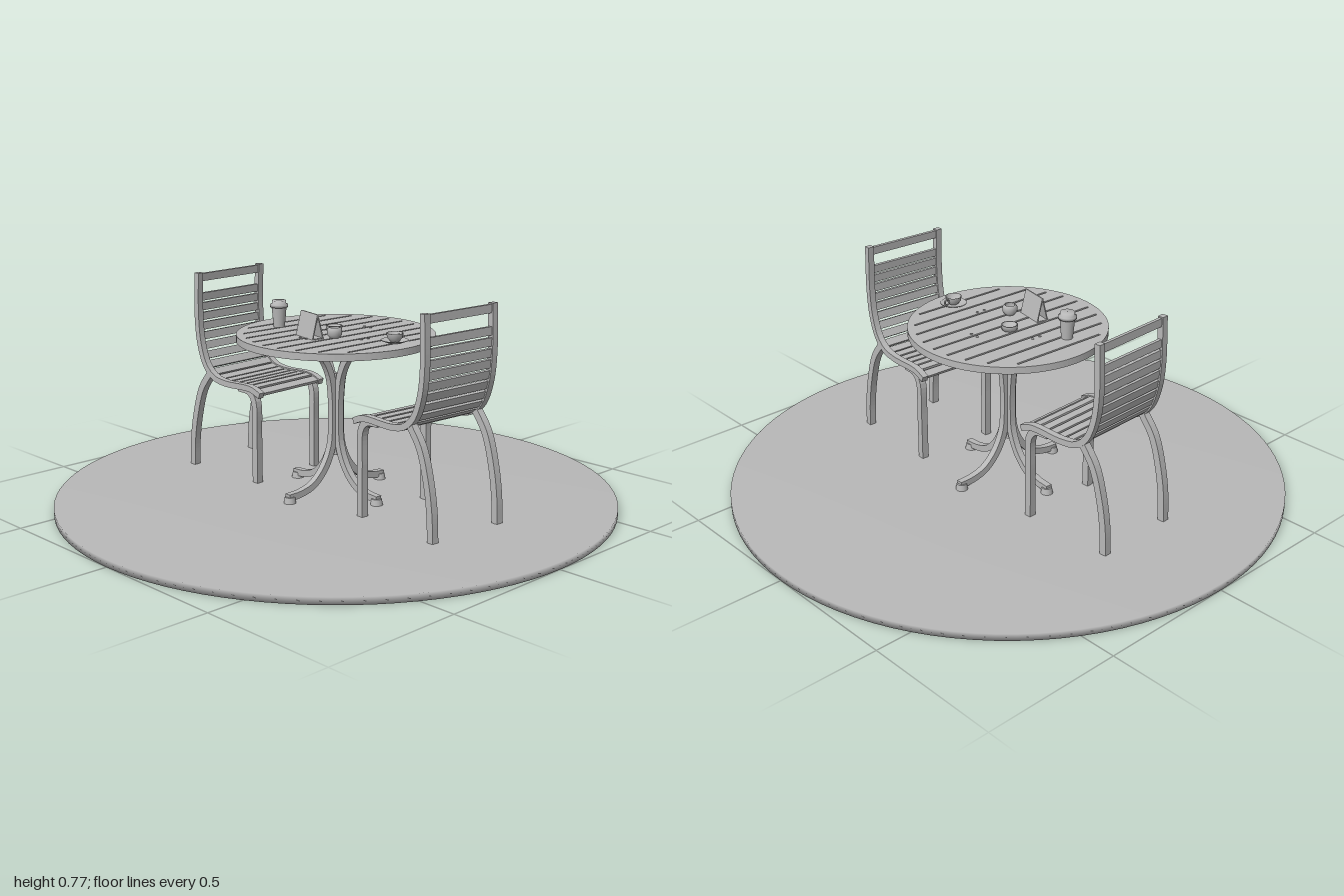
import * as THREE from 'three';

const grey = new THREE.MeshStandardMaterial({ color: 0xb8b8b8 });
grey.name = 'plain grey';

function add(parent, name, geometry, x = 0, y = 0, z = 0) {
  const mesh = new THREE.Mesh(geometry, grey);
  mesh.name = name;
  mesh.position.set(x, y, z);
  parent.add(mesh);
  return mesh;
}

const curveOf = (pts) => new THREE.CatmullRomCurve3(pts.map(([z, y]) => new THREE.Vector3(0, y, z)), false, 'centripetal');

// Flat bar of constant thickness bent along a path of [z, y] points
function strap(pts, thickness, width, steps = 24) {
  const curve = curveOf(pts);
  const a = [], b = [];
  for (let i = 0; i <= steps; i++) {
    const p = curve.getPointAt(i / steps), t = curve.getTangentAt(i / steps);
    const dz = -t.y * thickness / 2, dy = t.z * thickness / 2;
    a.push(new THREE.Vector2(p.z + dz, p.y + dy));
    b.unshift(new THREE.Vector2(p.z - dz, p.y - dy));
  }
  const g = new THREE.ExtrudeGeometry(new THREE.Shape([...a, ...b]), { depth: width, bevelEnabled: false });
  return g.translate(0, 0, -width / 2).rotateY(-Math.PI / 2);
}

function lathe(pts, segments = 32) {
  return new THREE.LatheGeometry(pts.map(([r, y]) => new THREE.Vector2(r, y)), segments);
}

function makeChair() {
  const chair = new THREE.Group();
  const rail = [[0.573, 0.77], [0.577, 0.6], [0.565, 0.5], [0.535, 0.425], [0.49, 0.387], [0.43, 0.375], [0.29, 0.375], [0.245, 0.358]];
  const frontLeg = [[0.36, 0.37], [0.305, 0.364], [0.28, 0.335], [0.276, 0.2], [0.276, 0.025]];
  const rearLeg = [[0.515, 0.4], [0.565, 0.33], [0.6, 0.22], [0.617, 0.12], [0.622, 0.025]];
  for (const side of [-1, 1]) {
    add(chair, 'sideRail', strap(rail, 0.022, 0.024, 36), side * 0.153);
    add(chair, 'frontLeg', strap(frontLeg, 0.026, 0.026), side * 0.148);
    add(chair, 'rearLeg', strap(rearLeg, 0.026, 0.026), side * 0.15);
  }
  // Slats follow the rail, with an open gap under the top one
  const curve = curveOf(rail);
  const count = 18, length = curve.getLength();
  for (let i = 0; i < count; i++) {
    if (i === 1) continue;
    const u = (i + 0.5) / count;
    const p = curve.getPointAt(u), t = curve.getTangentAt(u);
    const slat = add(chair, i < 10 ? 'backSlat' : 'seatSlat', new THREE.BoxGeometry(0.29, 0.012, length / count - 0.008), 0, p.y, p.z);
    slat.rotation.x = Math.atan2(-t.y, t.z);
  }
  // Cross bar tying the front legs together under the seat
  add(chair, 'crossBar', new THREE.BoxGeometry(0.29, 0.02, 0.014), 0, 0.352, 0.295);
  return chair;
}

function makeTable() {
  const table = new THREE.Group();
  table.name = 'table';
  // Round slatted top
  const top = new THREE.Shape().absarc(0, 0, 0.35, 0, Math.PI * 2);
  for (let i = -4; i <= 4; i++) {
    const z = i * 0.067, h = Math.sqrt(0.325 ** 2 - z * z), w = 0.004;
    top.holes.push(new THREE.Path([[-h, z - w], [-h, z + w], [h, z + w], [h, z - w]].map(([x, y]) => new THREE.Vector2(x, y))));
  }
  const topGeometry = new THREE.ExtrudeGeometry(top, { depth: 0.025, bevelEnabled: false, curveSegments: 64 });
  add(table, 'tableTop', topGeometry.rotateX(-Math.PI / 2), 0, 0.58, 0);
  // Four bent straps form the pedestal
  const leg = [[0.18, 0.573], [0.13, 0.565], [0.07, 0.53], [0.03, 0.46], [0.017, 0.38], [0.015, 0.28], [0.022, 0.2], [0.055, 0.125], [0.11, 0.07], [0.17, 0.05], [0.225, 0.046]];
  for (let i = 0; i < 4; i++) {
    const arm = new THREE.Group();
    arm.name = 'pedestalArm';
    arm.rotation.y = i * Math.PI / 2;
    add(arm, 'pedestalLeg', strap(leg, 0.024, 0.024, 40));
    add(arm, 'footPad', new THREE.CylinderGeometry(0.018, 0.022, 0.022, 16), 0, 0.036, 0.215);
    for (const x of [-0.016, 0.016]) {
      add(arm, 'screw', new THREE.CylinderGeometry(0.005, 0.005, 0.003, 10), x, 0.606, 0.15);
    }
    table.add(arm);
  }
  add(table, 'pedestalCore', new THREE.CylinderGeometry(0.012, 0.012, 0.3, 16), 0, 0.31, 0);
  table.rotation.y = -0.05;
  return table;
}

function makeTableware() {
  const set = new THREE.Group();
  set.name = 'tableware';
  set.position.y = 0.605;
  // Takeaway cup with lid
  add(set, 'paperCup', lathe([[0, 0], [0.02, 0], [0.02, 0], [0.027, 0.075], [0.027, 0.075], [0, 0.075]]), -0.07, 0, -0.22);
  add(set, 'cupLid', lathe([[0, 0.072], [0.032, 0.072], [0.032, 0.082], [0.026, 0.084], [0.025, 0.096], [0, 0.096]]), -0.07, 0, -0.22);
  // Cup and saucer
  add(set, 'saucer', lathe([[0, 0], [0.025, 0], [0.048, 0.009], [0.046, 0.011], [0.025, 0.004], [0, 0.004]]), 0.025, 0, 0.26);
  add(set, 'teaCup', lathe([[0, 0.004], [0.016, 0.005], [0.026, 0.018], [0.029, 0.034], [0.027, 0.034], [0.024, 0.02], [0.014, 0.012], [0, 0.012]]), 0.025, 0, 0.26);
  add(set, 'teaCupHandle', new THREE.TorusGeometry(0.01, 0.003, 8, 16), 0.06, 0.021, 0.255);
  // Sugar jar and low dish
  add(set, 'sugarJar', lathe([[0, 0], [0.016, 0], [0.026, 0.012], [0.026, 0.03], [0.02, 0.038], [0.017, 0.036], [0.022, 0.028], [0.018, 0.01], [0, 0.008]]), -0.065, 0, 0.06);
  add(set, 'lowDish', lathe([[0, 0], [0.027, 0], [0.029, 0.018], [0.024, 0.018], [0.022, 0.008], [0, 0.008]]), 0.025, 0, -0.035);
  // Folded menu card
  const card = new THREE.Group();
  card.name = 'menuCard';
  card.position.set(-0.115, 0, -0.012);
  card.rotation.y = -0.2;
  for (const side of [-1, 1]) {
    const panel = add(card, 'cardPanel', new THREE.BoxGeometry(0.004, 0.088, 0.108), side * 0.0105, 0.043, 0);
    panel.rotation.z = side * 0.24;
  }
  add(card, 'cardBase', new THREE.BoxGeometry(0.044, 0.003, 0.108), 0, 0.0015, 0);
  set.add(card);
  return set;
}

export function createModel() {
  const model = new THREE.Group();
  // Round ground slab, softly shaded over its rim
  add(model, 'groundDisc', lathe([[0, 0], [1, 0], [1, 0.025], [0, 0.025]], 96));
  model.add(makeTable(), makeTableware());

  const frontChair = makeChair();
  frontChair.name = 'frontChair';
  frontChair.position.x = 0.035;
  frontChair.rotation.y = -0.07;
  const backChair = makeChair();
  backChair.name = 'backChair';
  backChair.position.x = 0.02;
  backChair.rotation.y = Math.PI + 0.04;
  model.add(frontChair, backChair);
  return model;
}
